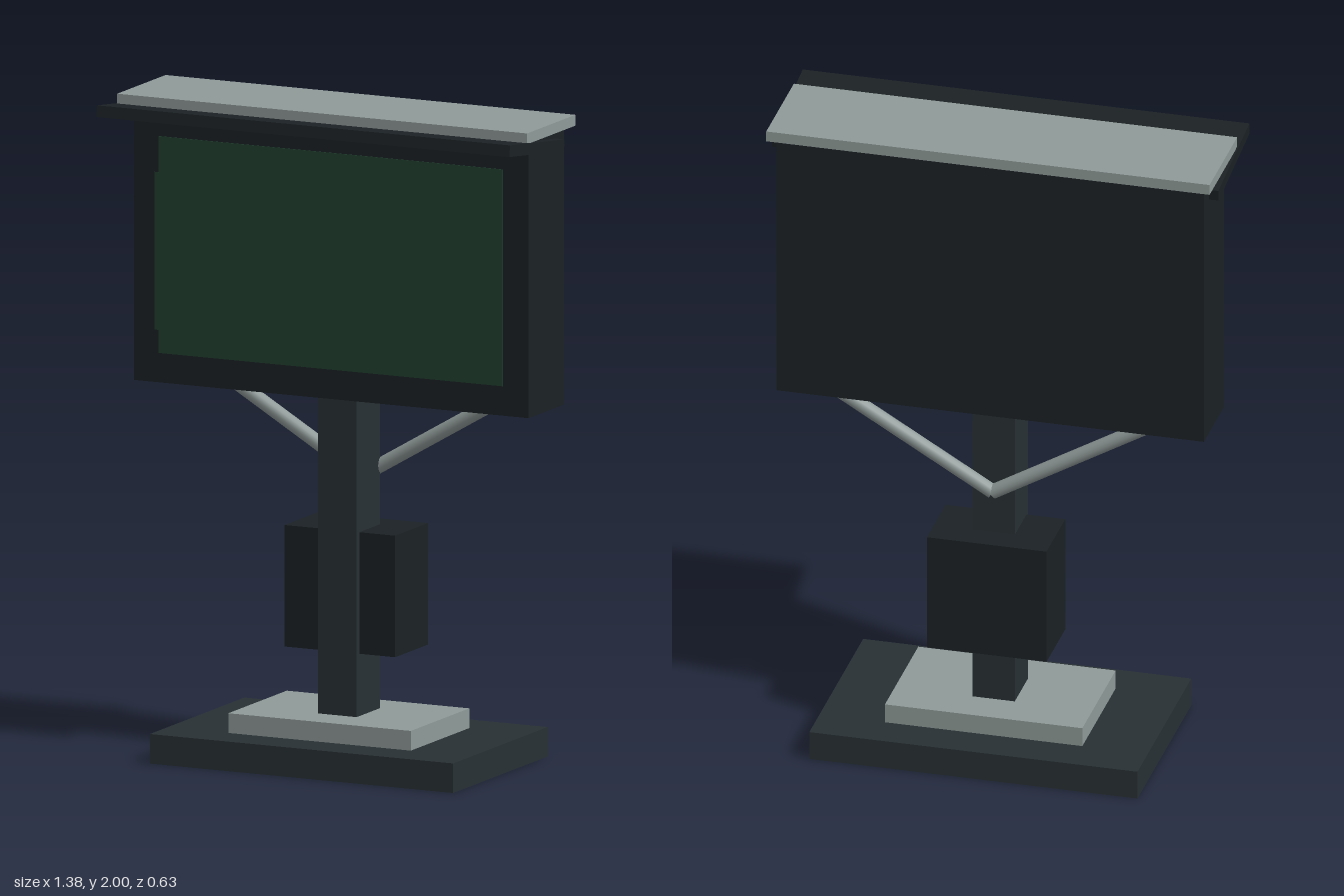
import * as THREE from 'three';

const mat = (color) => new THREE.MeshStandardMaterial({ color });

export function createModel() {
  const model = new THREE.Group();
  const dark = mat(0x1b2124), slate = mat(0x283034), metal = mat(0x8f9a98), green = mat(0x213f2f);

  // Box given by its limits on each axis
  const box = (name, material, [x0, x1], [y0, y1], [z0, z1]) => {
    const mesh = new THREE.Mesh(new THREE.BoxGeometry(x1 - x0, y1 - y0, z1 - z0), material);
    mesh.position.set((x0 + x1) / 2, (y0 + y1) / 2, (z0 + z1) / 2);
    mesh.name = name;
    model.add(mesh);
    return mesh;
  };

  // Foot and post
  box('base', slate, [-0.507, 0.507], [0, 0.09], [-0.315, 0.315]);
  box('footPlate', metal, [-0.305, 0.305], [0.09, 0.15], [-0.195, 0.195]);
  box('post', slate, [-0.065, 0.065], [0.15, 1.14], [-0.077, 0.077]);
  box('controlBox', dark, [-0.185, 0.185], [0.34, 0.71], [-0.16, 0.06]);

  // Display cabinet with its screen and the narrow strip beside it
  box('cabinet', dark, [-0.66, 0.66], [1.12, 1.967], [-0.117, 0.117]);
  box('screen', green, [-0.576, 0.574], [1.21, 1.87], [0.1, 0.12]);
  box('screenSideStrip', green, [-0.59, -0.57], [1.28, 1.76], [0.1, 0.1195]);

  // Roof cap and the sun visor that tilts up towards the front
  box('roofCap', metal, [-0.685, 0.685], [1.967, 2], [-0.145, 0.178]);
  const visor = box('visor', dark, [-0.69, 0.69], [1.928, 1.963], [-0.062, 0.305]);
  visor.rotation.x = -0.125;

  // Diagonal braces from the back of the post to the cabinet
  for (const side of [-1, 1]) {
    const from = new THREE.Vector3(0, 0.852, -0.088);
    const to = new THREE.Vector3(side * 0.55, 1.175, -0.088);
    const dir = to.clone().sub(from);
    const brace = new THREE.Mesh(new THREE.CylinderGeometry(0.022, 0.022, dir.length(), 16), metal);
    brace.position.copy(from).add(to).multiplyScalar(0.5);
    brace.quaternion.setFromUnitVectors(new THREE.Vector3(0, 1, 0), dir.normalize());
    brace.name = side > 0 ? 'leftBrace' : 'rightBrace';
    model.add(brace);
  }

  return model;
}
